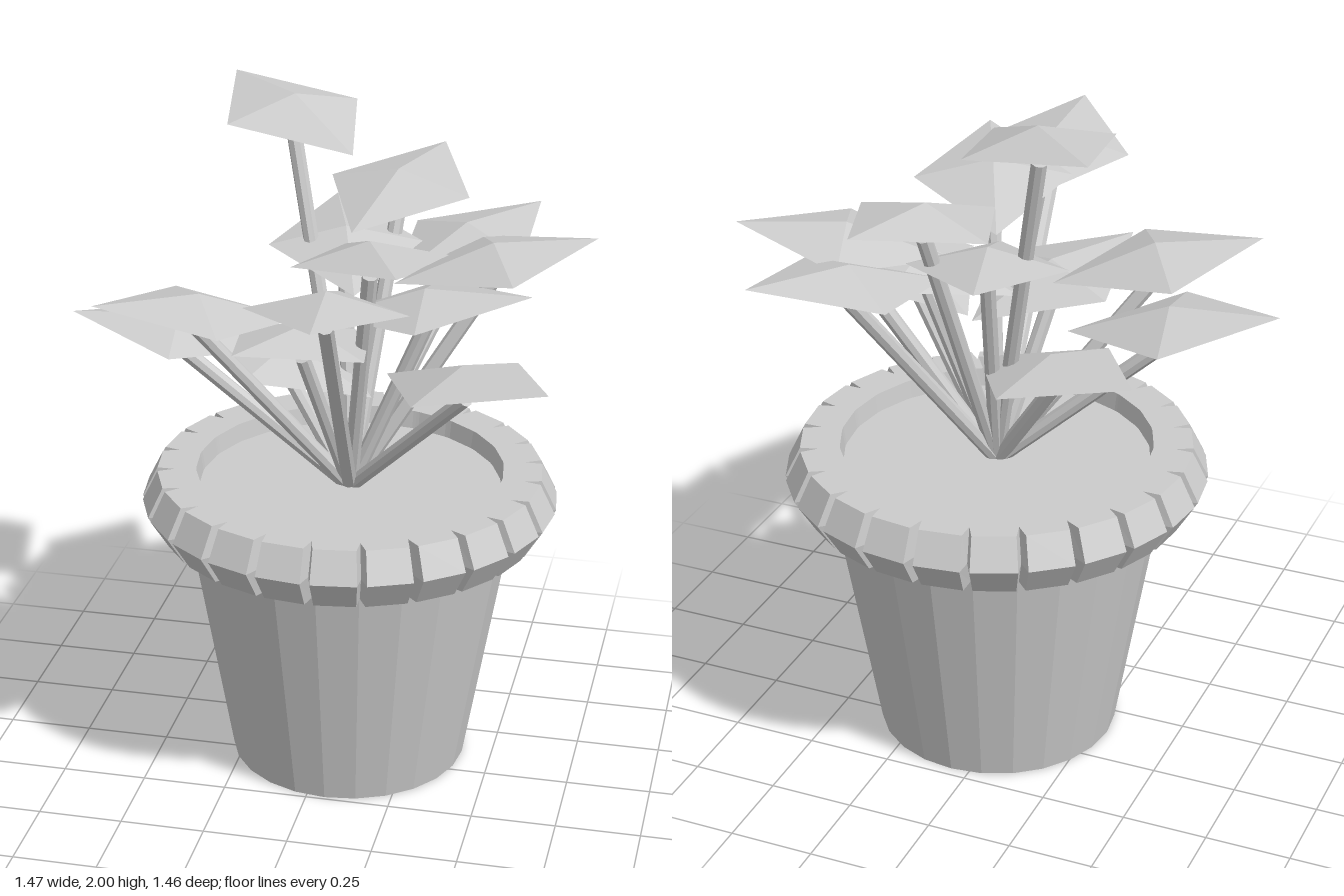
import * as THREE from 'three';

const UP = new THREE.Vector3(0, 1, 0);
const POT_X = 0.055, POT_Z = -0.115;

// Centre of each leaf: x, y, z
const LEAVES = [
  [-0.16, 1.943, -0.317], [0.14, 1.71, -0.405], [0.335, 1.53, -0.49],
  [0.452, 1.55, -0.267], [0.432, 1.32, 0.12], [0.10, 1.628, 0.433],
  [0.152, 1.655, 0.093], [-0.346, 1.468, 0.113], [-0.445, 1.35, -0.033],
  [-0.155, 1.22, -0.20], [-0.045, 1.385, 0.073], [0.28, 1.45, -0.117],
  [0.0, 1.56, -0.30],
];

// Thick collar with narrow V notches cut between its blocks
function rimGeometry(blocks) {
  const profile = [
    [0.47, 0.75], [0.56, 0.75], [0.615, 0.84], [0.57, 0.93], [0.455, 0.93], [0.445, 0.86],
  ].map(([r, y]) => new THREE.Vector2(r, y));
  const steps = blocks * 3;
  const geo = new THREE.LatheGeometry(profile, steps);
  const pos = geo.attributes.position;
  const halfGap = 0.023;
  for (let i = 0; i <= steps; i++) {
    const k = i % 3;
    const centre = Math.round(i / 3) * Math.PI * 2 / blocks;
    const angle = centre + (k === 1 ? halfGap : k === 2 ? -halfGap : 0);
    profile.forEach((p, j) => {
      const outer = j >= 1 && j <= 3;
      const r = k === 0 && outer ? p.x - 0.05 : p.x;
      pos.setXYZ(i * profile.length + j, r * Math.sin(angle), p.y, r * Math.cos(angle));
    });
  }
  const flat = geo.toNonIndexed();
  flat.computeVertexNormals();
  return flat;
}

export function createModel() {
  const model = new THREE.Group();
  model.name = 'pottedPlant';
  const solid = new THREE.MeshStandardMaterial({ color: 0xcccccc, flatShading: true });
  const thin = new THREE.MeshStandardMaterial({ color: 0xcccccc, flatShading: true, side: THREE.DoubleSide });

  const add = (parent, name, geo, mat) => {
    const mesh = new THREE.Mesh(geo, mat);
    mesh.name = name;
    parent.add(mesh);
    return mesh;
  };

  // Pot: tapered body, notched rim, soil
  const pot = new THREE.Group();
  pot.name = 'pot';
  pot.position.set(POT_X, 0, POT_Z);
  model.add(pot);
  add(pot, 'potBody', new THREE.CylinderGeometry(0.485, 0.355, 0.76, 24).translate(0, 0.38, 0), solid);
  add(pot, 'potRim', rimGeometry(24), solid);
  add(pot, 'soil', new THREE.CircleGeometry(0.452, 24).rotateX(-Math.PI / 2).translate(0, 0.875, 0), solid);

  // Shared leaf: a shallow four-sided pyramid, longer along x
  const leafGeo = new THREE.ConeGeometry(1, 0.057, 4, 1, true)
    .translate(0, 0.0285, 0).scale(0.305, 1, 0.226);

  // Each stem runs from the middle of the soil to its leaf, which tips up outward
  const root = new THREE.Vector3(POT_X, 0.865, POT_Z);
  const plant = new THREE.Group();
  plant.name = 'plant';
  model.add(plant);
  for (const [x, y, z] of LEAVES) {
    const tip = new THREE.Vector3(x, y - 0.045, z);
    const along = tip.clone().sub(root);
    const stem = add(plant, 'stem', new THREE.CylinderGeometry(0.023, 0.023, along.length(), 8), solid);
    stem.position.copy(root).add(tip).multiplyScalar(0.5);
    stem.quaternion.setFromUnitVectors(UP, along.normalize());

    const leaf = add(plant, 'leaf', leafGeo, thin);
    leaf.position.set(x, y, z);
    leaf.rotation.set(0, Math.atan2(POT_Z - z, x - POT_X), 0.175);
  }
  return model;
}
